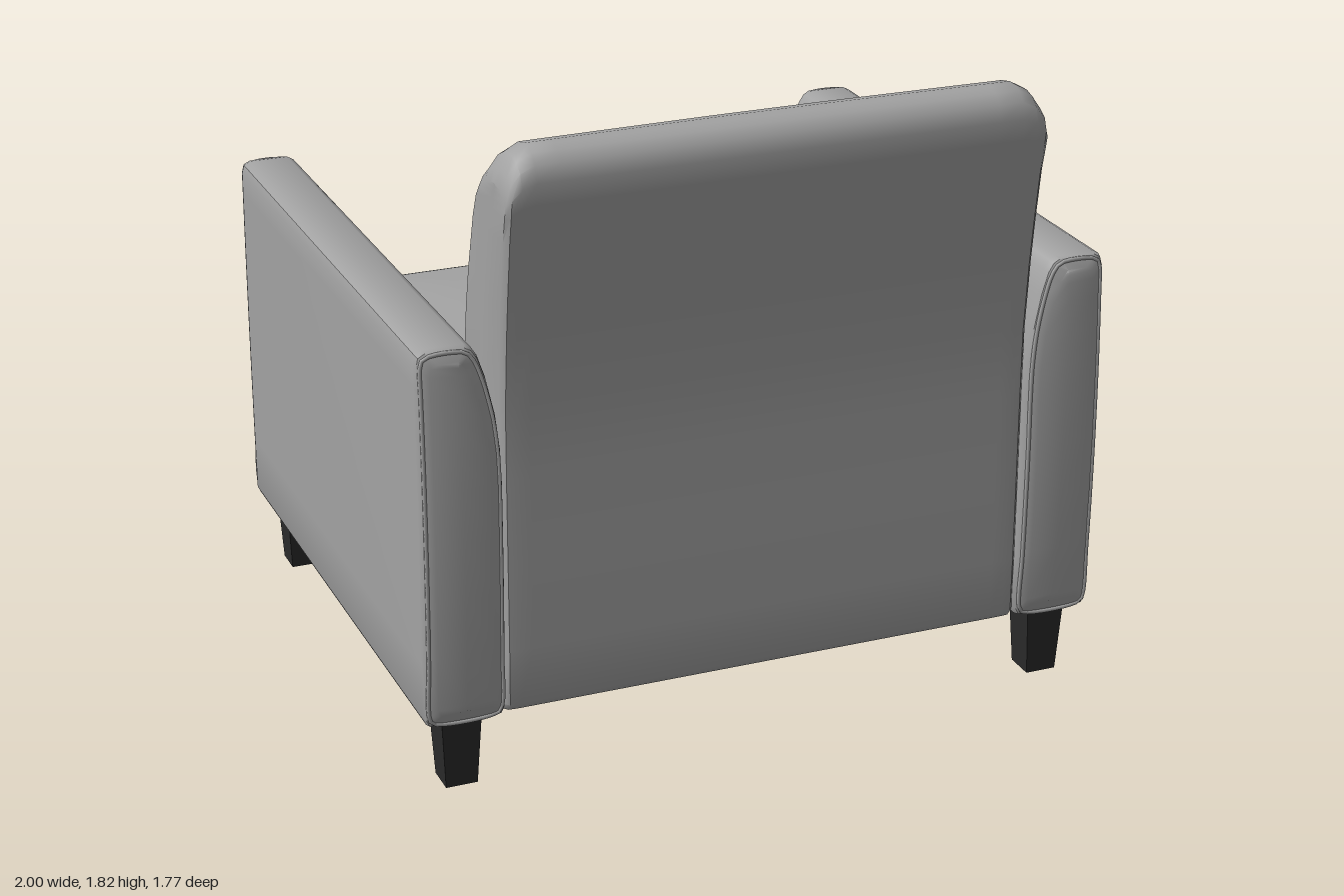
import * as THREE from 'three';
import { toCreasedNormals } from 'three/addons/utils/BufferGeometryUtils.js';
import { RoundedBoxGeometry } from 'three/addons/geometries/RoundedBoxGeometry.js';

const V = (x, y, z) => new THREE.Vector3(x, y, z);
const { lerp, smoothstep } = THREE.MathUtils;

// Skin a list of equal-length closed rings; the end rings collapse to close the form.
function loft(rings, crease = 0.75) {
  const n = rings[0].length;
  const pts = rings.flat();
  const index = [];
  for (let r = 0; r < rings.length - 1; r++) {
    for (let i = 0; i < n; i++) {
      const j = (i + 1) % n, a = r * n + i, b = r * n + j;
      index.push(a, b, b + n, a, b + n, a + n);
    }
  }
  // turn faces outward, whichever way the rings run
  let volume = 0;
  for (let i = 0; i < index.length; i += 3) {
    const [a, b, c] = [0, 1, 2].map((k) => pts[index[i + k]]);
    volume += a.dot(b.clone().cross(c));
  }
  if (volume < 0) index.reverse();
  const geo = new THREE.BufferGeometry().setFromPoints(pts);
  geo.setIndex(index);
  return toCreasedNormals(geo, crease);
}

// Closed outline from rows of [height, one side, other side].
const outline = (rows) => [
  ...rows.map(([y, a]) => [a, y]),
  ...[...rows].reverse().map(([y, , b]) => [b, y]),
];

// Rounded rectangle ring in the seat plane.
function cushionRing(y, inset) {
  const hw = 0.77 - inset, hd = 0.637 - inset, r = Math.min(0.11, hd * 0.6);
  const ring = [];
  [[1, 1], [-1, 1], [-1, -1], [1, -1]].forEach(([sx, sz], c) => {
    for (let i = 0; i <= 6; i++) {
      const t = (c + i / 6) * Math.PI / 2;
      ring.push(V(sx * (hw - r) + r * Math.cos(t), y, -0.198 + sz * (hd - r) + r * Math.sin(t)));
    }
  });
  return ring;
}

// Arm section: straight outside, inside curving in towards the top.
const armRows = [
  [0.215, 0.78, 0.99], [0.235, 0.77, 1], [0.4, 0.77, 1], [0.58, 0.77, 1], [0.75, 0.77, 1],
  [0.9, 0.77, 1], [1.0, 0.773, 1], [1.1, 0.784, 1], [1.2, 0.806, 1], [1.26, 0.826, 1],
  [1.285, 0.842, 0.994], [1.295, 0.86, 0.975],
];

function armRing(side, end, offset, inset) {
  const bulge = end > 0 ? 0.015 : 0.008;
  return outline(armRows).map(([x, y]) => {
    const dx = x - 0.885, dy = y - 0.755;
    const px = 0.885 + Math.sign(dx) * Math.max(0, Math.abs(dx) - inset);
    const crown = bulge * (1 - (dy / 0.54) ** 2);
    const z = (end > 0 ? 0.805 : 0.862) + offset + crown;
    return V(side * px, 0.755 + dy * (1 - Math.min(inset, 0.04) / 0.54), end * z);
  });
}

// Backrest section: [height, rear z, front z].
const backRows = [
  [0.215, 0.785, 0.72], [0.235, 0.8, 0.56], [0.4, 0.803, 0.46], [0.65, 0.803, 0.41],
  [0.9, 0.803, 0.37], [1.1, 0.805, 0.375], [1.3, 0.823, 0.405], [1.42, 0.838, 0.45],
  [1.58, 0.862, 0.55], [1.68, 0.878, 0.608], [1.74, 0.885, 0.645], [1.785, 0.872, 0.69],
  [1.81, 0.845, 0.735], [1.82, 0.815, 0.78],
];

// x, front set-back, rear set-back, height factor of the rounded top
const backStations = [
  [0, 0, 0, 1], [0.15, 0, 0, 1], [0.4, 0.03, 0, 1], [0.62, 0.06, 0, 1], [0.69, 0.072, 0, 1],
  [0.73, 0.09, 0, 0.9], [0.757, 0.11, 0.002, 0.72], [0.77, 0.135, 0.018, 0.55],
];

function backRing(side, [x, front, rear, top], flat) {
  const rows = backRows.map(([y, zb, zf]) => {
    const fade = 1 - smoothstep(y, 1.3, 1.78) * 0.85;
    const b = zb - rear, f = Math.min(zf + front * fade, b - 0.02);
    const m = (b + f) / 2;
    return [y > 1.6 ? lerp(1.6, y, top) : y, flat ? m : b, flat ? m : f];
  });
  return outline(rows).map(([z, y]) => V(side * x, y, z));
}

export function createModel() {
  const model = new THREE.Group();
  model.name = 'armchair';
  const upholstery = new THREE.MeshStandardMaterial({ color: 0xa3a3a3 });
  upholstery.name = 'grey upholstery';
  const darkWood = new THREE.MeshStandardMaterial({ color: 0x2b2b2b });
  darkWood.name = 'dark wood';

  const add = (name, geo, mat = upholstery) => {
    const mesh = new THREE.Mesh(geo, mat);
    mesh.name = name;
    model.add(mesh);
    return mesh;
  };
  const piping = (name, ring) =>
    add(name, new THREE.TubeGeometry(new THREE.CatmullRomCurve3(ring, true), 110, 0.006, 6, true));

  // Base under the seat
  add('seatBase', new RoundedBoxGeometry(1.54, 0.29, 1.41, 3, 0.02)).position.set(0, 0.367, -0.117);

  // Seat cushion: boxed sides, seam and crowned top
  const cushion = [
    [0.525, 0.63], [0.525, 0.07], [0.54, 0.03], [0.58, 0.008], [0.64, 0], [0.78, 0],
    [0.83, 0.006], [0.86, 0.018], [0.885, 0.04], [0.9, 0.08], [0.912, 0.16],
    [0.922, 0.28], [0.928, 0.45], [0.93, 0.63],
  ];
  add('seatCushion', loft(cushion.map(([y, d]) => cushionRing(y, d))));
  const seam = cushionRing(0.863, 0.02).filter((p, i, a) => p.distanceTo(a[(i + 1) % a.length]) > 1e-4);
  piping('seatCushionPiping', seam);

  // Backrest, skinned from one side to the other
  const half = (side) => [
    ...backStations.map((s) => backRing(side, s, false)),
    backRing(side, backStations.at(-1), true),
  ];
  add('backrest', loft([...half(-1).reverse(), ...half(1).slice(1)]));

  for (const side of [-1, 1]) {
    const label = side > 0 ? 'left' : 'right';

    // Arm with softly padded ends
    const steps = [[-0.025, 0], [-0.006, 0.004], [0, 0.012], [0.007, 0.035], [0.012, 0.2]];
    const end = (e) => steps.map(([o, d]) => armRing(side, e, o, d));
    add(label + 'Arm', loft([...end(-1).reverse(), ...end(1)]));
    for (const e of [-1, 1]) {
      piping(label + (e > 0 ? 'RearArmPiping' : 'FrontArmPiping'), armRing(side, e, -0.002, 0.012));
    }

    // Tapered square legs
    for (const z of [-0.765, 0.715]) {
      const leg = new THREE.CylinderGeometry(0.0813, 0.064, 0.22, 4, 1).rotateY(Math.PI / 4);
      add(label + (z > 0 ? 'RearLeg' : 'FrontLeg'), toCreasedNormals(leg, 0.5), darkWood)
        .position.set(side * 0.887, 0.11, z);
    }
  }
  return model;
}
